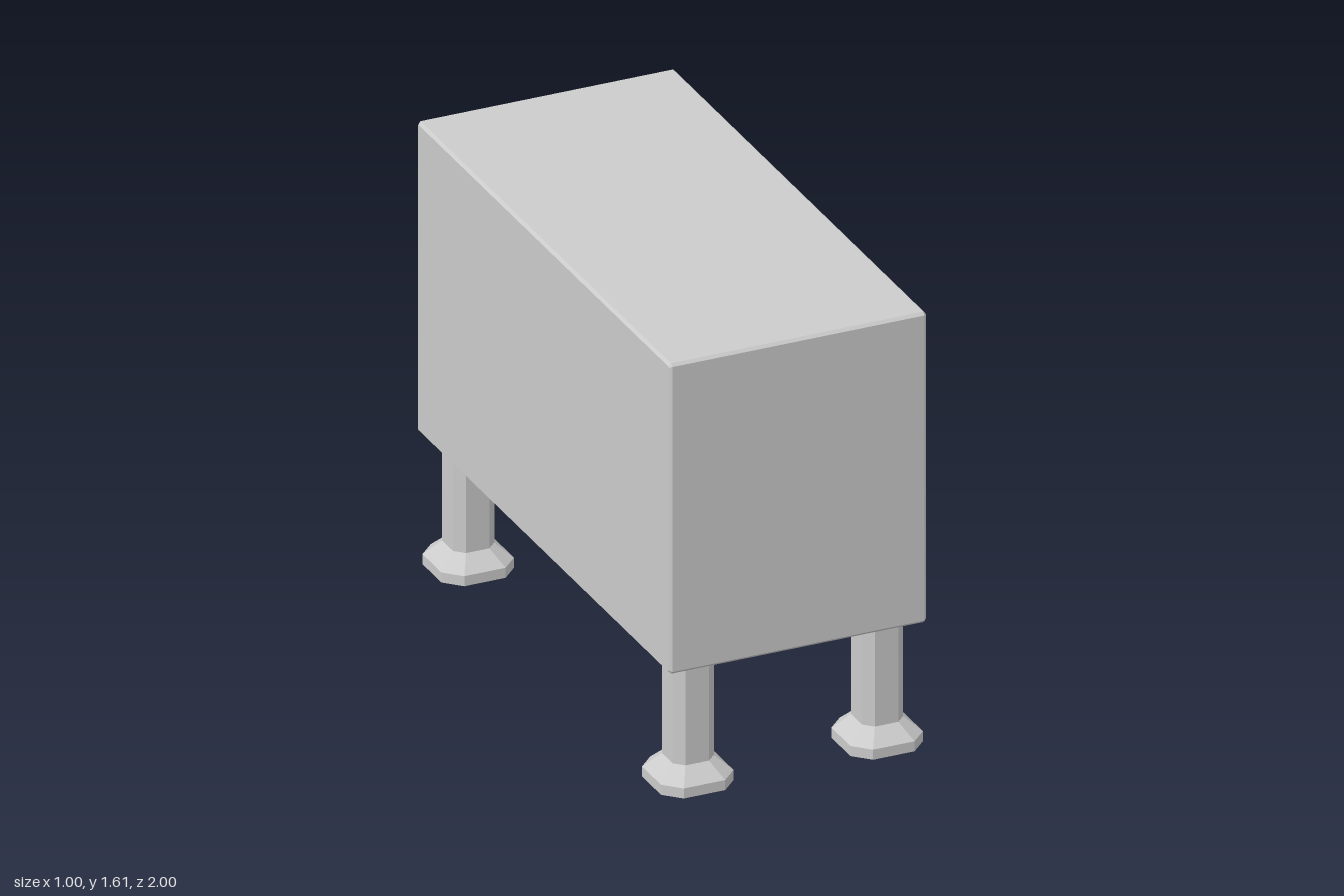
import * as THREE from 'three';

const material = new THREE.MeshStandardMaterial({ color: 0xcccccc, flatShading: true });

// Square outline whose corners (size c) are cut with n straight segments
function cutSquare(w, h, c, n = 1) {
  const points = [];
  for (let q = 0; q < 4; q++) {
    const sx = q === 0 || q === 3 ? 1 : -1;
    const sy = q < 2 ? 1 : -1;
    for (let i = 0; i <= n; i++) {
      const a = (q + i / n) * Math.PI / 2;
      points.push(new THREE.Vector2(sx * (w - c) + c * Math.cos(a), sy * (h - c) + c * Math.sin(a)));
    }
  }
  return new THREE.Shape(points);
}

// Chamfered block running along x from x0 to x1
function slab(name, shape, x0, x1, bevel, y, z) {
  const geometry = new THREE.ExtrudeGeometry(shape, {
    depth: x1 - x0 - 2 * bevel, bevelThickness: bevel, bevelSize: bevel,
    bevelOffset: -bevel, bevelSegments: 1,
  });
  geometry.translate(0, 0, x0 + bevel).rotateY(Math.PI / 2).translate(0, y, z);
  const mesh = new THREE.Mesh(geometry, material);
  mesh.name = name;
  return mesh;
}

// Upright eight-sided prism, with its top scaled to make a taper
function prism(name, half, y0, y1, topScale = 1) {
  const geometry = new THREE.ExtrudeGeometry(cutSquare(half, half, half * 0.43), {
    depth: y1 - y0, bevelEnabled: false,
  });
  geometry.rotateX(-Math.PI / 2);
  const p = geometry.attributes.position;
  for (let i = 0; i < p.count; i++) {
    if (p.getY(i) > (y1 - y0) / 2) {
      p.setX(i, p.getX(i) * topScale);
      p.setZ(i, p.getZ(i) * topScale);
    }
  }
  geometry.translate(0, y0, 0);
  geometry.computeVertexNormals();
  const mesh = new THREE.Mesh(geometry, material);
  mesh.name = name;
  return mesh;
}

export function createModel() {
  const model = new THREE.Group();
  model.name = 'cabinetOnLegs';

  // Main cabinet
  model.add(slab('cabinet', cutSquare(1, 0.573, 0.01), -0.495, 0.443, 0.01, 1.038, 0));

  // Side panel and its raised round cover
  model.add(slab('sidePanel', cutSquare(0.512, 0.512, 0.008), 0.435, 0.46, 0.008, 1.027, 0.383));
  model.add(slab('roundCover', cutSquare(0.469, 0.469, 0.313, 3), 0.45, 0.497, 0.012, 1.025, 0.385));

  // Four legs on flared feet
  for (const x of [-0.368, 0.321]) {
    for (const z of [-0.868, 0.868]) {
      const leg = new THREE.Group();
      leg.name = 'leg';
      leg.add(
        prism('footBase', 0.132, 0, 0.037),
        prism('footFlare', 0.132, 0.037, 0.09, 0.57),
        prism('legPost', 0.075, 0.085, 0.47),
      );
      leg.position.set(x, 0, z);
      model.add(leg);
    }
  }
  return model;
}
